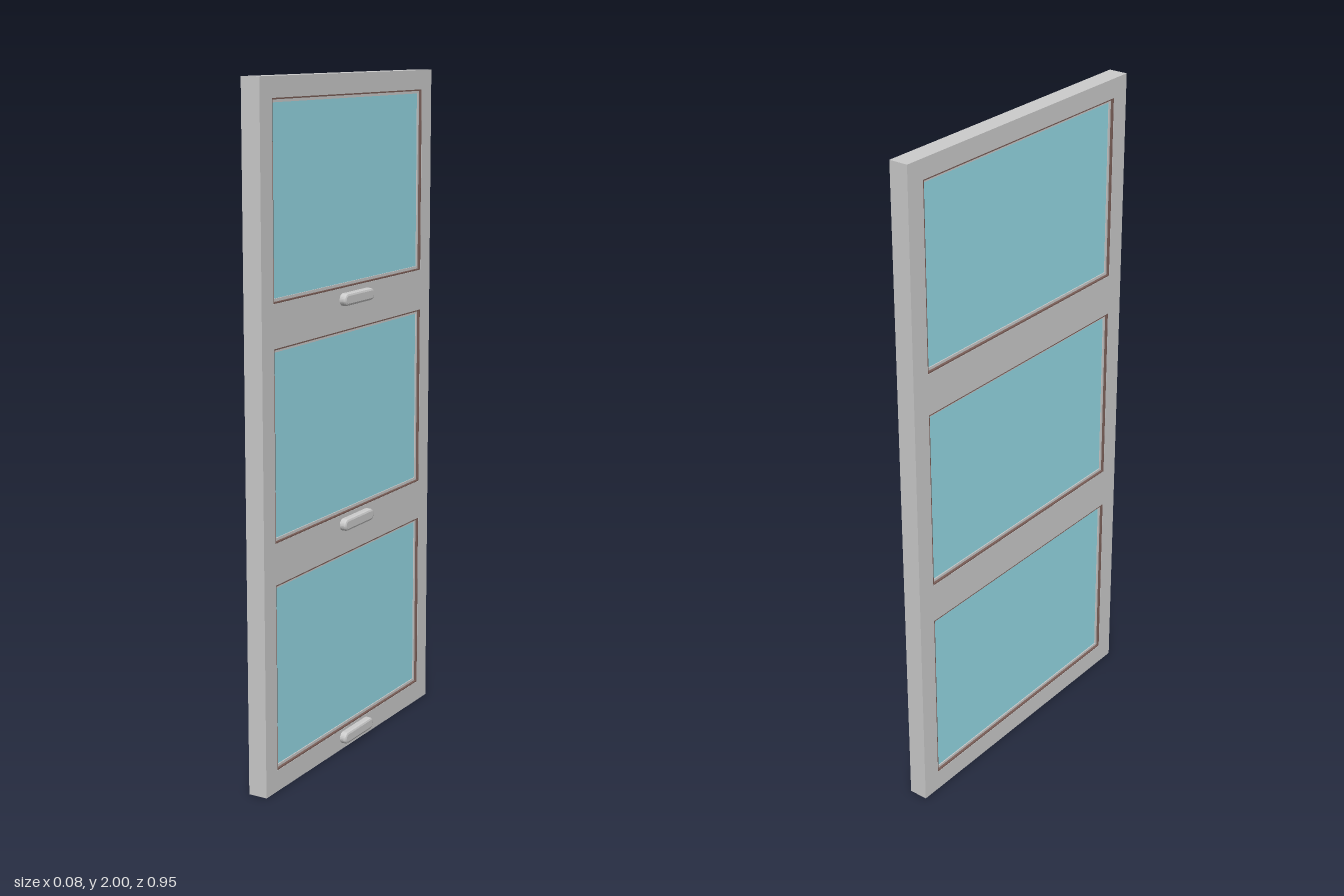
import * as THREE from 'three';

const grey = new THREE.MeshStandardMaterial({ color: 0xcccccc });
const glassBlue = new THREE.MeshStandardMaterial({ color: 0x95d9e6 });
const sealBrown = new THREE.MeshStandardMaterial({ color: 0x7a5f58 });

const BACK = -0.04, FACE = 0.018, MID = (BACK + FACE) / 2;
const OPEN_W = 0.832; // width of each window opening
const windows = [[0.063, 0.61], [0.73, 1.275], [1.398, 1.943]];
const handleHeights = [0.037, 0.7, 1.365];

// Trace a rectangle on a shape or a hole path.
function rect(path, w, y0, y1) {
  path.moveTo(-w / 2, y0);
  path.lineTo(w / 2, y0);
  path.lineTo(w / 2, y1);
  path.lineTo(-w / 2, y1);
  path.closePath();
  return path;
}

// Extrude a shape drawn in the width/height plane along x, from x0 to x1.
function panel(name, shape, x0, x1, material) {
  const geo = new THREE.ExtrudeGeometry(shape, { depth: x1 - x0, bevelEnabled: false });
  geo.rotateY(Math.PI / 2);
  geo.translate(x0, 0, 0);
  const mesh = new THREE.Mesh(geo, material);
  mesh.name = name;
  return mesh;
}

// Rectangular ring of the given border thickness inside an opening.
function ring(w, y0, y1, t) {
  const shape = rect(new THREE.Shape(), w, y0, y1);
  shape.holes.push(rect(new THREE.Path(), w - 2 * t, y0 + t, y1 - t));
  return shape;
}

// Long pull with rounded ends and a chamfered outer edge.
function makeHandle(y) {
  const bevel = 0.007, r = 0.018 - bevel, half = 0.085 - 0.018;
  const shape = new THREE.Shape();
  shape.absarc(half, 0, r, -Math.PI / 2, Math.PI / 2, false);
  shape.absarc(-half, 0, r, Math.PI / 2, Math.PI * 1.5, false);
  shape.closePath();
  const geo = new THREE.ExtrudeGeometry(shape, {
    depth: 0.013, bevelEnabled: true, bevelThickness: bevel, bevelSize: bevel,
    bevelSegments: 2, curveSegments: 6,
  });
  geo.rotateY(Math.PI / 2);
  const mesh = new THREE.Mesh(geo, grey);
  mesh.position.set(FACE, y, -0.015);
  mesh.name = 'handle';
  return mesh;
}

export function createModel() {
  const model = new THREE.Group();
  model.name = 'glazedPanelDoor';

  // Frame slab with three openings
  const slab = rect(new THREE.Shape(), 0.95, 0, 2);
  for (const [y0, y1] of windows) slab.holes.push(rect(new THREE.Path(), OPEN_W, y0, y1));
  model.add(panel('frame', slab, BACK, FACE, grey));

  // Seal, bead and glass in each opening
  for (const [y0, y1] of windows) {
    const unit = new THREE.Group();
    unit.name = 'window';
    const s = 0.004, b = 0.008;
    unit.add(panel('seal', ring(OPEN_W, y0, y1, s), BACK + 0.001, FACE - 0.001, sealBrown));
    unit.add(panel('bead', ring(OPEN_W - 2 * s, y0 + s, y1 - s, b), BACK + 0.008, FACE - 0.008, grey));
    const pane = rect(new THREE.Shape(), OPEN_W - 2 * (s + b), y0 + s + b, y1 - s - b);
    unit.add(panel('glass', pane, MID - 0.018, MID + 0.018, glassBlue));
    model.add(unit);
  }

  // Pull handle below each window
  for (const y of handleHeights) model.add(makeHandle(y));

  return model;
}
